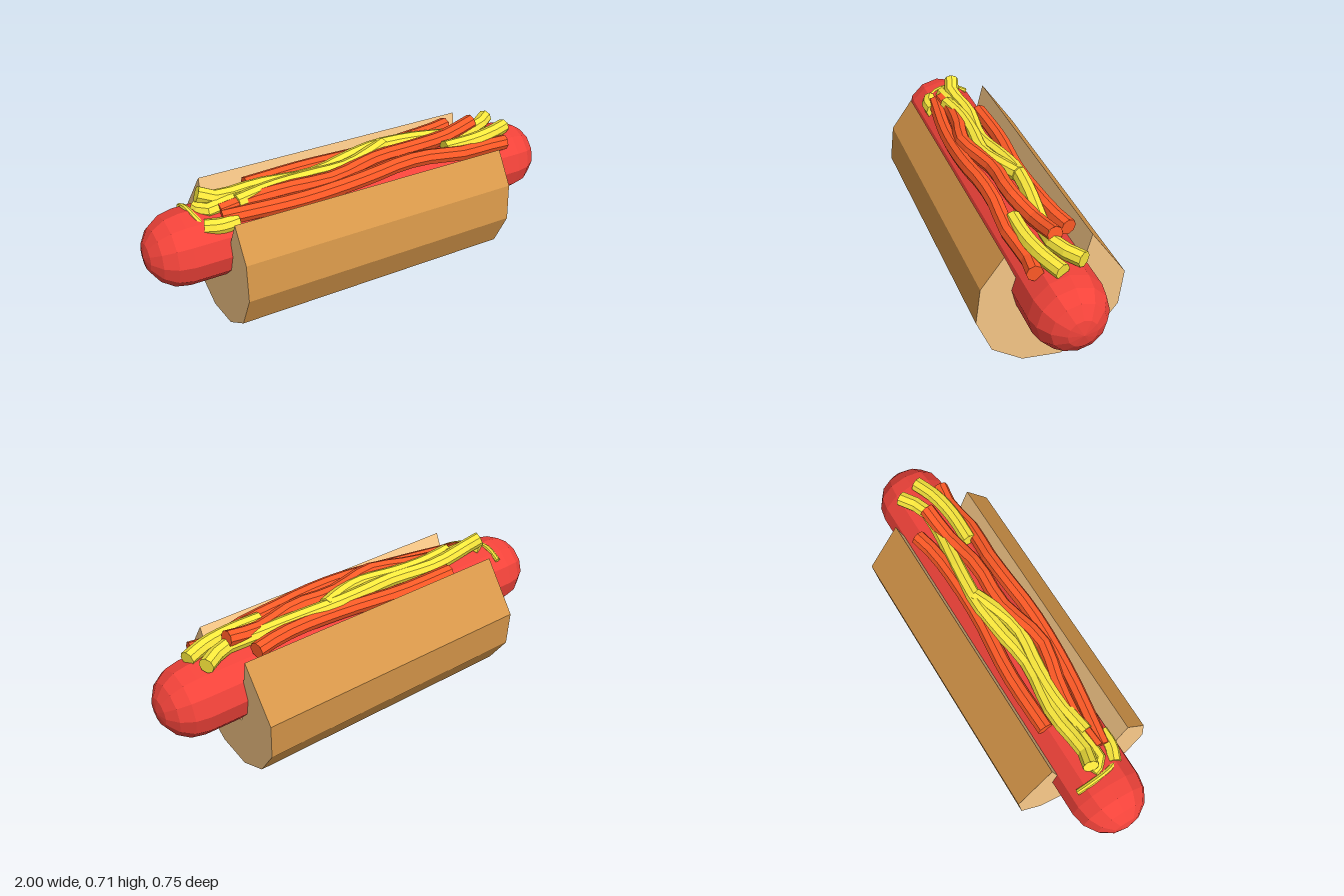
import * as THREE from 'three';

const mat = (color) => new THREE.MeshStandardMaterial({ color, flatShading: true, side: THREE.DoubleSide });
const crustMat = mat(0xd8984a), crumbMat = mat(0xf8c888);
const sausageMat = mat(0xf2433a), ketchupMat = mat(0xff5a26), mustardMat = mat(0xfcea3c);

function part(name, geometry, material) {
  const mesh = new THREE.Mesh(geometry, material);
  mesh.name = name;
  return mesh;
}

// Faceted roll with an open groove, split into crust and crumb surfaces
function createBun() {
  const length = 1.337;
  // cross-section as [z, y]: outer crust from back lip to front lip, then groove floor
  const profile = [
    [-0.169, 0.274], [-0.332, 0.044], [-0.316, -0.126], [-0.214, -0.266], [-0.059, -0.336],
    [0.116, -0.316], [0.254, -0.221], [0.324, -0.056], [0.306, 0.114], [0.206, 0.254],
    [0.063, -0.08], [-0.08, -0.08],
  ];
  const shape = new THREE.Shape(profile.map((p) => new THREE.Vector2(...p)));
  const solid = new THREE.ExtrudeGeometry(shape, { depth: length, bevelEnabled: false });
  solid.translate(0, 0, -length / 2);
  const pos = solid.attributes.position, normal = solid.attributes.normal;
  const crust = [], crumb = [];
  for (let i = 0; i < pos.count; i += 3) {
    const corners = [i, i + 1, i + 2];
    const outer = corners.every((k) => Math.hypot(pos.getX(k), pos.getY(k)) > 0.3);
    const target = outer && Math.abs(normal.getZ(i)) < 0.5 ? crust : crumb;
    corners.forEach((k) => target.push(pos.getX(k), pos.getY(k), pos.getZ(k)));
  }
  const bun = new THREE.Group();
  bun.name = 'bun';
  [['crust', crust, crustMat], ['crumb', crumb, crumbMat]].forEach(([name, data, material]) => {
    const g = new THREE.BufferGeometry();
    g.setAttribute('position', new THREE.Float32BufferAttribute(data, 3));
    g.rotateY(-Math.PI / 2);
    g.computeVertexNormals();
    bun.add(part(name, g, material));
  });
  return bun;
}

// Capped sauce strand along a list of [x, y, z] points
function strand(name, list, radius, material) {
  const group = new THREE.Group();
  group.name = name;
  const curve = new THREE.CatmullRomCurve3(list.map((p) => new THREE.Vector3(...p)));
  group.add(part(name + 'Body', new THREE.TubeGeometry(curve, list.length * 2, radius, 8), material));
  [0, 1].forEach((t) => {
    const cap = part(name + 'End', new THREE.CircleGeometry(radius, 8), material);
    cap.position.copy(curve.getPointAt(t));
    const out = curve.getTangentAt(t).multiplyScalar(t ? 1 : -1);
    cap.quaternion.setFromUnitVectors(new THREE.Vector3(0, 0, 1), out);
    group.add(cap);
  });
  return group;
}

export function createModel() {
  const model = new THREE.Group();
  model.name = 'hotDog';

  // Bun and sausage share one slightly tilted axis
  const base = new THREE.Group();
  base.name = 'bunAndSausage';
  base.position.set(-0.005, 0.36, 0.005);
  const axis = new THREE.Vector3(1.33, -0.047, -0.091).normalize();
  base.quaternion.setFromUnitVectors(new THREE.Vector3(1, 0, 0), axis);
  base.add(createBun());
  const sausage = part('sausage', new THREE.CapsuleGeometry(0.167, 1.671, 4, 12), sausageMat);
  sausage.rotation.z = -Math.PI / 2;
  sausage.position.set(0.005, 0.076, 0.006);
  base.add(sausage);
  model.add(base);

  // Ketchup strands
  const ketchup = [
    [[-0.49, 0.61, -0.05], [-0.2, 0.605, -0.075], [0.1, 0.605, -0.07], [0.35, 0.61, -0.09], [0.47, 0.605, -0.11], [0.57, 0.6, -0.14]],
    [[-0.66, 0.615, 0.1], [-0.5, 0.62, 0.08], [-0.33, 0.63, 0.09], [-0.15, 0.64, 0.115], [0.1, 0.635, 0.04], [0.3, 0.635, 0.03], [0.5, 0.615, -0.02], [0.66, 0.64, -0.05]],
    [[-0.66, 0.6, 0.13], [-0.3, 0.605, 0.155], [0, 0.62, 0.145], [0.2, 0.625, 0.115], [0.35, 0.61, 0.1], [0.5, 0.585, 0.1], [0.68, 0.56, 0.065], [0.78, 0.56, 0.07]],
  ];
  ketchup.forEach((p, i) => model.add(strand('ketchup' + (i + 1), p, 0.036, ketchupMat)));

  // Mustard strands
  const mustard = [
    [[-0.73, 0.68, 0.03], [-0.66, 0.65, 0.045], [-0.45, 0.63, 0.01], [-0.2, 0.62, 0.02], [0, 0.63, -0.025], [0.15, 0.635, -0.05], [0.35, 0.625, -0.05], [0.52, 0.605, -0.04], [0.68, 0.6, -0.05], [0.79, 0.595, -0.125]],
    [[-0.58, 0.63, 0.09], [-0.42, 0.63, 0.055], [-0.25, 0.63, 0.045], [-0.05, 0.635, 0.05], [0.08, 0.64, 0.005], [0.18, 0.64, -0.045]],
    [[0.45, 0.605, 0.06], [0.6, 0.6, 0.05], [0.73, 0.595, 0.02], [0.83, 0.585, -0.025]],
    [[-0.74, 0.62, 0.03], [-0.71, 0.62, 0.08], [-0.63, 0.625, 0.07], [-0.5, 0.62, 0.06]],
    [[-0.74, 0.585, 0.14], [-0.68, 0.585, 0.16], [-0.6, 0.585, 0.155]],
  ];
  mustard.forEach((p, i) => model.add(strand('mustard' + (i + 1), p, 0.035, mustardMat)));

  // Thin mustard trail draped across the sausage
  model.add(strand('mustardTrail', [[-0.785, 0.585, -0.055], [-0.78, 0.62, 0.02], [-0.765, 0.615, 0.1], [-0.74, 0.585, 0.15]], 0.013, mustardMat));
  return model;
}
